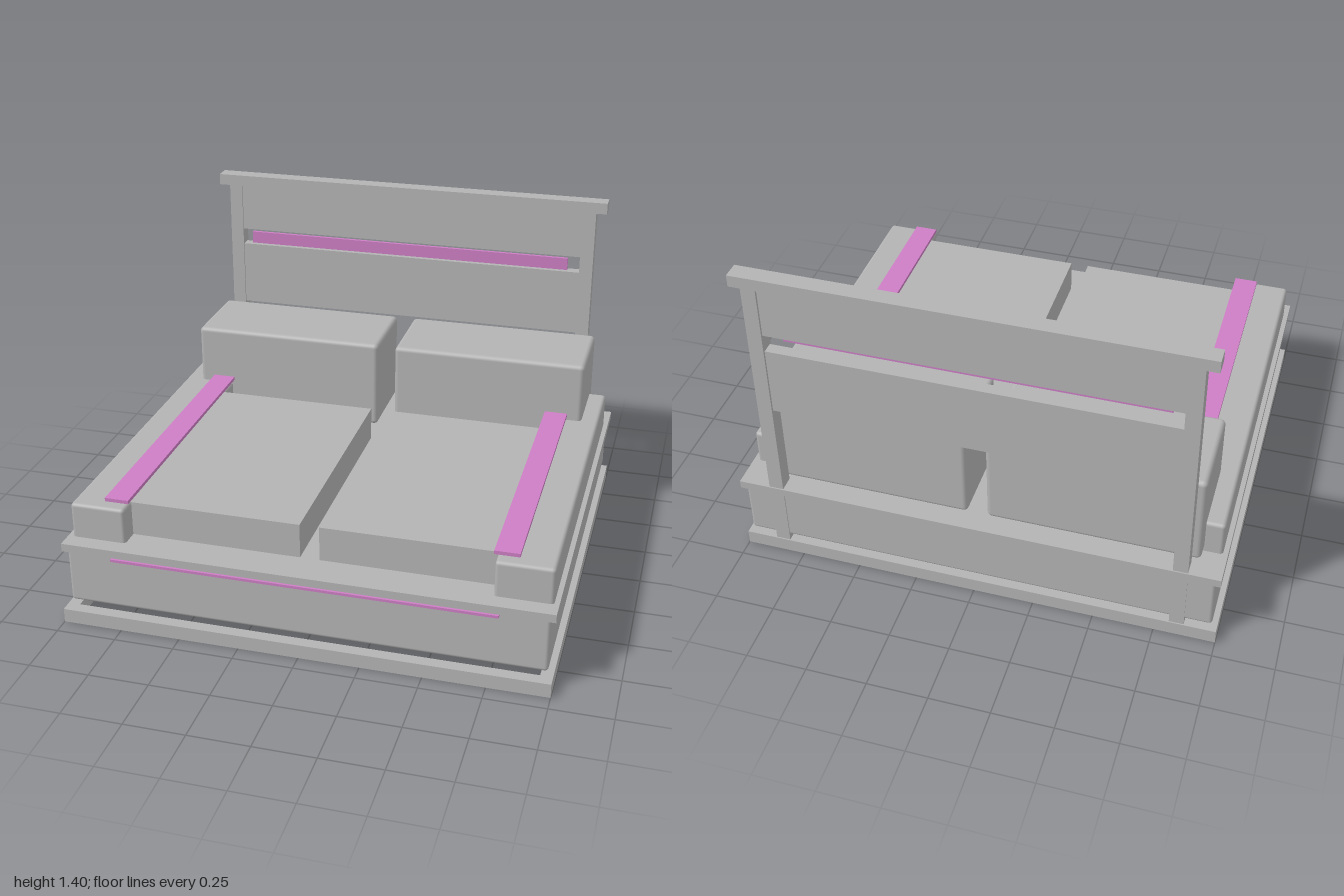
import * as THREE from 'three';
import { RoundedBoxGeometry } from 'three/addons/geometries/RoundedBoxGeometry.js';

export function createModel() {
  const model = new THREE.Group();
  const grey = new THREE.MeshStandardMaterial({ name: 'grey', color: 0xb3b3b3 });
  const magenta = new THREE.MeshStandardMaterial({ name: 'magenta', color: 0xcc7ec4 });

  // Box between two corners; a radius gives softened edges.
  function box(name, [x0, x1], [y0, y1], [z0, z1], material = grey, radius = 0) {
    const w = x1 - x0, h = y1 - y0, d = z1 - z0;
    const geometry = radius
      ? new RoundedBoxGeometry(w, h, d, 3, radius)
      : new THREE.BoxGeometry(w, h, d);
    const mesh = new THREE.Mesh(geometry, material);
    mesh.name = name;
    mesh.position.set((x0 + x1) / 2, (y0 + y1) / 2, (z0 + z1) / 2);
    model.add(mesh);
  }

  // The same box on both sides of x = 0.
  function pair(name, [x0, x1], y, z, material, radius) {
    box(name + 'Left', [x0, x1], y, z, material, radius);
    box(name + 'Right', [-x1, -x0], y, z, material, radius);
  }

  // Open base frame
  box('baseFront', [-1, 1], [0, 0.06], [0.88, 0.93]);
  box('baseBack', [-1, 1], [0, 0.06], [-0.93, -0.88]);
  pair('baseSide', [0.95, 1], [0, 0.06], [-0.88, 0.88]);

  // Underside plate, body and rim
  box('underPlate', [-0.885, 0.885], [0.03, 0.092], [-0.825, 0.8], grey, 0.02);
  box('body', [-0.98, 0.98], [0.085, 0.345], [-0.92, 0.89], grey, 0.015);
  box('rim', [-1, 1], [0.315, 0.35], [-0.93, 0.9]);
  box('frontAccent', [-0.785, 0.785], [0.305, 0.316], [0.88, 0.91], magenta);

  // Arms with floating accent strips
  pair('arm', [0.75, 0.98], [0.33, 0.5], [-0.79, 0.83], grey, 0.015);
  pair('armAccent', [0.74, 0.84], [0.515, 0.53], [-0.76, 0.8], magenta);

  // Seat cushions and back cushions
  pair('seatCushion', [0.04, 0.755], [0.34, 0.485], [-0.36, 0.75]);
  pair('seatTop', [0.04, 0.755], [0.485, 0.497], [-0.36, 0.75]);
  pair('backCushion', [0.04, 0.905], [0.365, 0.765], [-0.86, -0.47], grey, 0.02);

  // Headboard
  pair('headboardPost', [0.81, 0.87], [0.06, 1.36], [-0.925, -0.86]);
  box('headboardLowerPanel', [-0.815, 0.815], [0.765, 1.06], [-0.915, -0.867]);
  box('headboardUpperPanel', [-0.815, 0.815], [1.135, 1.36], [-0.915, -0.867]);
  box('headboardCap', [-0.918, 0.918], [1.35, 1.4], [-0.926, -0.855]);
  box('headboardAccent', [-0.757, 0.757], [1.077, 1.132], [-0.857, -0.842], magenta);

  return model;
}
